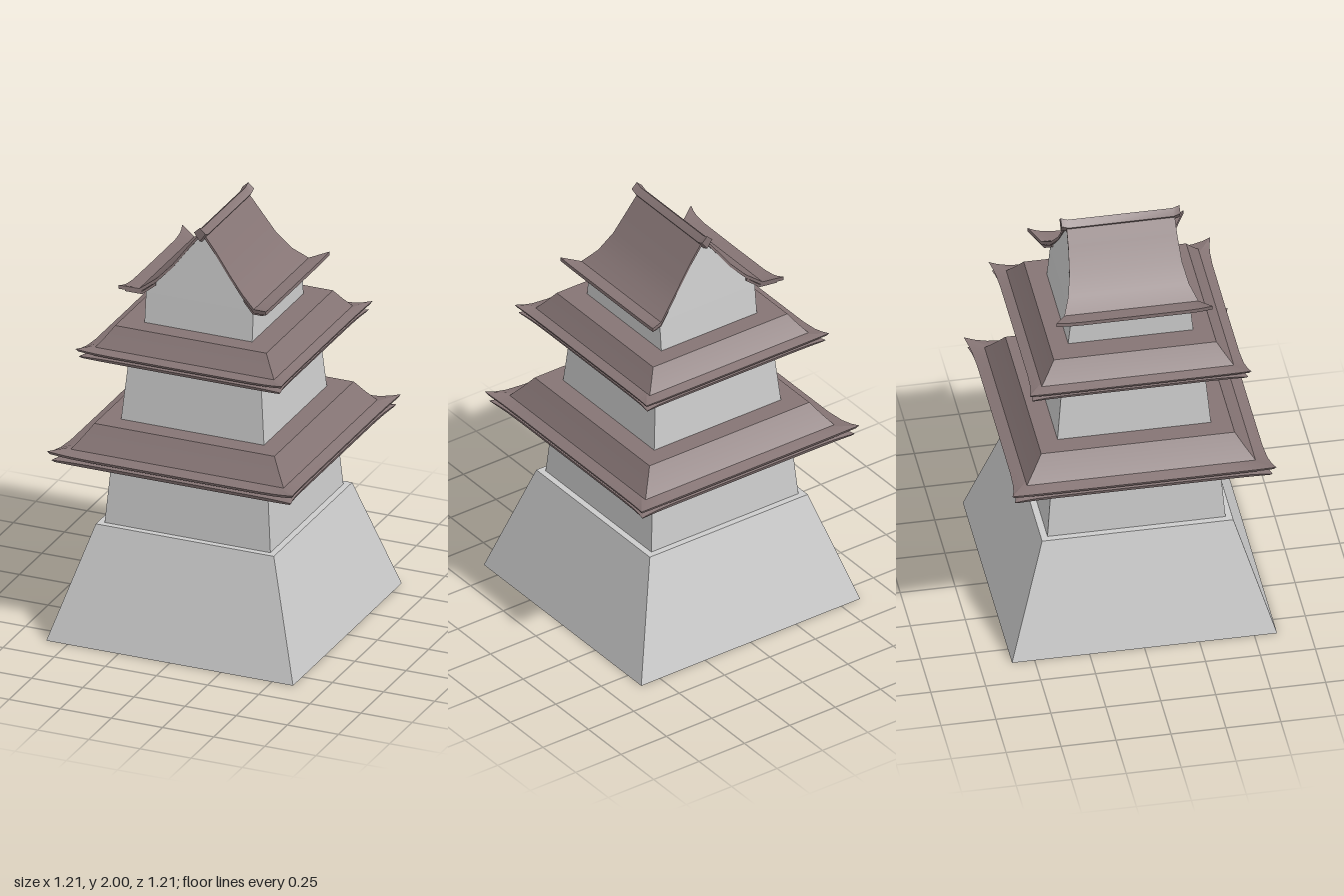
import * as THREE from 'three';
import { toCreasedNormals } from 'three/addons/utils/BufferGeometryUtils.js';

const stone = new THREE.MeshStandardMaterial({ color: 0xcccccc, side: THREE.DoubleSide });
const tile = new THREE.MeshStandardMaterial({ color: 0x857474, side: THREE.DoubleSide });

// Skin a list of closed rings that all have the same number of points
function loft(rings, crease = 0.5) {
  const n = rings[0].length;
  const index = [];
  for (let i = 0; i < rings.length - 1; i++) {
    for (let j = 0; j < n; j++) {
      const k = (j + 1) % n;
      const a = i * n + j, b = a + n, c = i * n + k, d = c + n;
      index.push(a, b, d, a, d, c);
    }
  }
  const geo = new THREE.BufferGeometry();
  geo.setAttribute('position', new THREE.Float32BufferAttribute(rings.flat(2), 3));
  geo.setIndex(index);
  return toCreasedNormals(geo, crease);
}

function add(group, name, geo, mat) {
  const mesh = new THREE.Mesh(geo, mat);
  mesh.name = name;
  group.add(mesh);
  return mesh;
}

// Four tapering walls through levels of [y, half width, half depth]
function walls(levels) {
  return loft(levels.map(([y, x, z]) => [[-x, y, z], [x, y, z], [x, y, -z], [-x, y, -z]]), 0.1);
}

const SIDE = [-1, -0.94, -0.86, -0.7, 0, 0.7, 0.86, 0.94];
const flare = (t) => Math.abs(t) ** 10;

// Square ring whose corners are pulled outwards and upwards
function eaveRing([half, y, out = 0, lift = 0]) {
  const ring = [];
  for (let s = 0; s < 4; s++) {
    const c = Math.round(Math.cos(s * Math.PI / 2)), n = Math.round(Math.sin(s * Math.PI / 2));
    for (const t of SIDE) {
      const f = flare(t);
      const d = half + out * f, x = t * d;
      ring.push([x * c + d * n, y + lift * f, -x * n + d * c]);
    }
  }
  return ring;
}

// Skirt roof with an upper and a lower layer of eaves
function skirtRoof() {
  return loft([
    [0.30, 0.17], [0.44, 0.17], [0.48, 0.113], [0.52, 0.062],
    [0.573, 0.047, 0.027, 0.023], [0.568, 0.034, 0.022, 0.02],
    [0.50, 0.036],
    [0.562, 0.018, 0.024, 0.006], [0.555, 0.0, 0.02, 0.012],
    [0.36, 0.02],
  ].map(eaveRing), 0.4);
}

// Half profile of the gable roof, eave to ridge: x, y, half length
const PROFILE = [
  [0.343, 1.668, 0.335], [0.28, 1.666, 0.305], [0.21, 1.715, 0.275],
  [0.14, 1.79, 0.256], [0.07, 1.885, 0.248], [0, 1.975, 0.245],
];
const mirrored = [
  ...PROFILE.map(([x, y, z]) => [-x, y, z]),
  ...PROFILE.slice(0, -1).reverse(),
];

// Curved sheet with thickness, its corners turned up
function curvedSheet(stations, thickness) {
  const V = [1, 0.94, 0.86, 0.7, 0, -0.7, -0.86, -0.94, -1];
  const ring = ([x, y, z], top) => {
    const eave = Math.abs(x) > 0.3 ? 1 : 0;
    const point = (v, drop) => {
      const f = flare(v) * eave;
      return [x + Math.sign(x) * 0.017 * f, y + 0.022 * f - drop, v * (z + 0.02 * f)];
    };
    return [
      ...V.map((v) => point(v, top ? 0 : thickness)),
      ...[...V].reverse().map((v) => point(v, thickness)),
    ];
  };
  const last = stations[stations.length - 1];
  return loft([ring(stations[0], false), ...stations.map((s) => ring(s, true)), ring(last, false)], 0.6);
}

export function createModel() {
  const model = new THREE.Group();
  model.name = 'castleTower';

  // Stone base with its ledge, and the three storeys
  add(model, 'base', walls([[0, 0.603, 0.603], [0.535, 0.435, 0.435], [0.535, 0.4, 0.4]]), stone);
  add(model, 'lowerStorey', walls([[0.535, 0.405, 0.405], [0.9, 0.376, 0.376]]), stone);
  add(model, 'middleStorey', walls([[1.02, 0.35, 0.35], [1.38, 0.318, 0.318]]), stone);
  add(model, 'topStorey', walls([[1.48, 0.263, 0.286], [1.655, 0.262, 0.268]]), stone);

  // Skirt roofs, the upper one a smaller copy
  const skirt = skirtRoof();
  add(model, 'lowerRoof', skirt, tile).position.y = 0.86;
  const upper = add(model, 'middleRoof', skirt, tile);
  upper.scale.setScalar(0.84);
  upper.position.y = 1.352;

  // Gable walls leaning inwards under the roof curve
  const outline = mirrored.filter(([x]) => Math.abs(x) < 0.25).map(([x, y]) => new THREE.Vector2(x, y - 0.012));
  const gable = new THREE.ShapeGeometry(new THREE.Shape([
    new THREE.Vector2(-0.262, 1.64), new THREE.Vector2(-0.262, 1.667),
    ...outline,
    new THREE.Vector2(0.262, 1.667), new THREE.Vector2(0.262, 1.64),
  ]));
  const p = gable.attributes.position;
  for (let i = 0; i < p.count; i++) p.setZ(i, 0.27 - (p.getY(i) - 1.64) * 0.12);
  gable.computeVertexNormals();
  add(model, 'frontGable', gable, stone);
  add(model, 'backGable', gable, stone).rotation.y = Math.PI;

  // Gable roof and the second layer under each eave
  add(model, 'topRoof', curvedSheet(mirrored, 0.018), tile);
  for (const side of [-1, 1]) {
    const strip = [[0.32, 1.648, 0.315], [0.27, 1.65, 0.295], [0.215, 1.692, 0.272]]
      .map(([x, y, z]) => [side * x, y, z]);
    if (side < 0) add(model, 'rightEave', curvedSheet(strip, 0.014), tile);
    else add(model, 'leftEave', curvedSheet(strip.reverse(), 0.014), tile);
  }

  // Ridge beam with upturned ends
  const ridge = [[-0.27, 0.012, 0], [-0.27, 0.012, 1], [-0.24, 0, 1], [0.24, 0, 1], [0.27, 0.012, 1], [0.27, 0.012, 0]];
  add(model, 'ridge', loft(ridge.map(([z, lift, s]) => {
    const y = 1.962 + lift;
    return [[-0.028 * s, y, z], [0, y + 0.026 * s, z], [0.028 * s, y, z], [0, y - 0.04 * s, z]];
  }), 0.3), tile);

  return model;
}
